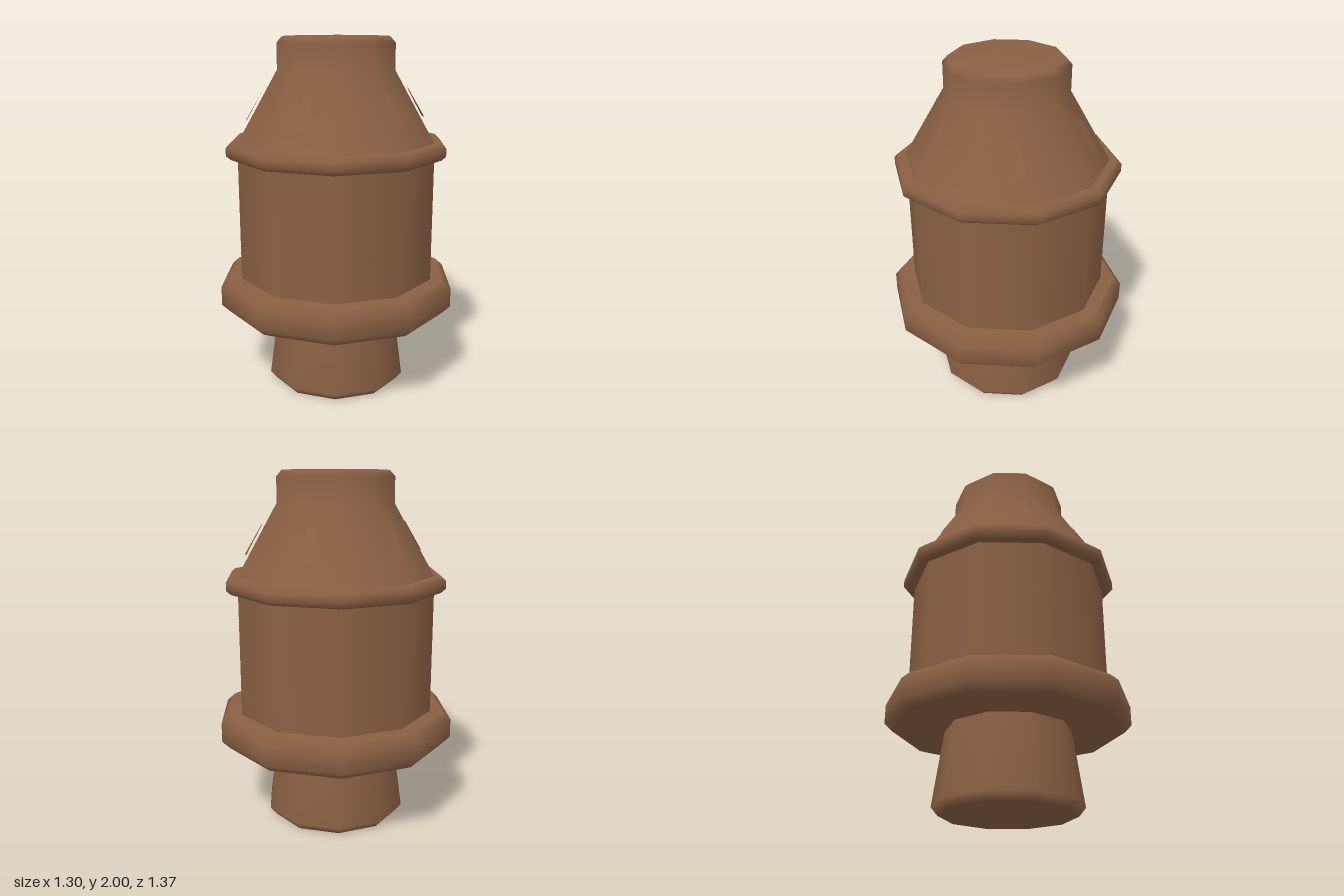
import * as THREE from 'three';

const SIDES = 10;

export function createModel() {
  const model = new THREE.Group();
  const clay = new THREE.MeshStandardMaterial({ color: 0x8a6043, side: THREE.DoubleSide });
  clay.name = 'brown clay';

  // Ten-sided turned part from [radius, height] pairs, bottom to top
  const turned = (name, profile) => {
    const points = profile.map(([r, y]) => new THREE.Vector2(r, y));
    const mesh = new THREE.Mesh(new THREE.LatheGeometry(points, SIDES), clay);
    mesh.name = name;
    model.add(mesh);
  };

  // Flared foot with a bevelled underside
  turned('foot', [[0, 0], [0.373, 0], [0.41, 0.045], [0.352, 0.462]]);

  // Wide bevelled flange
  turned('lowerFlange', [
    [0, 0.46], [0.64, 0.46], [0.685, 0.505], [0.685, 0.612], [0.64, 0.655], [0, 0.655],
  ]);

  // Straight drum
  turned('drum', [[0.565, 0.65], [0.565, 1.35]]);

  // Narrow bevelled ring under the roof
  turned('upperRing', [
    [0, 1.345], [0.605, 1.345], [0.63, 1.368], [0.63, 1.412], [0.605, 1.435], [0, 1.435],
  ]);

  // Sloping roof, neck and bevelled cap in one smooth surface
  turned('roofAndNeck', [[0.565, 1.433], [0.336, 1.825], [0.336, 1.968], [0.307, 2], [0, 2]]);

  // Six skewed vent plates floating just off the roof
  const vent = new THREE.BufferGeometry();
  vent.setAttribute('position', new THREE.Float32BufferAttribute([
    0.5, 1.55, -0.055, 0.49, 1.55, -0.128, 0.4, 1.715, -0.097, 0.403, 1.715, -0.052,
  ], 3));
  vent.setIndex([0, 1, 2, 0, 2, 3]);
  vent.computeVertexNormals();
  for (let i = 0; i < 6; i++) {
    const plate = new THREE.Mesh(vent, clay);
    plate.name = 'ventPlate' + (i + 1);
    plate.rotation.y = (i * Math.PI) / 3;
    model.add(plate);
  }

  model.position.z = -0.003;
  return model;
}
